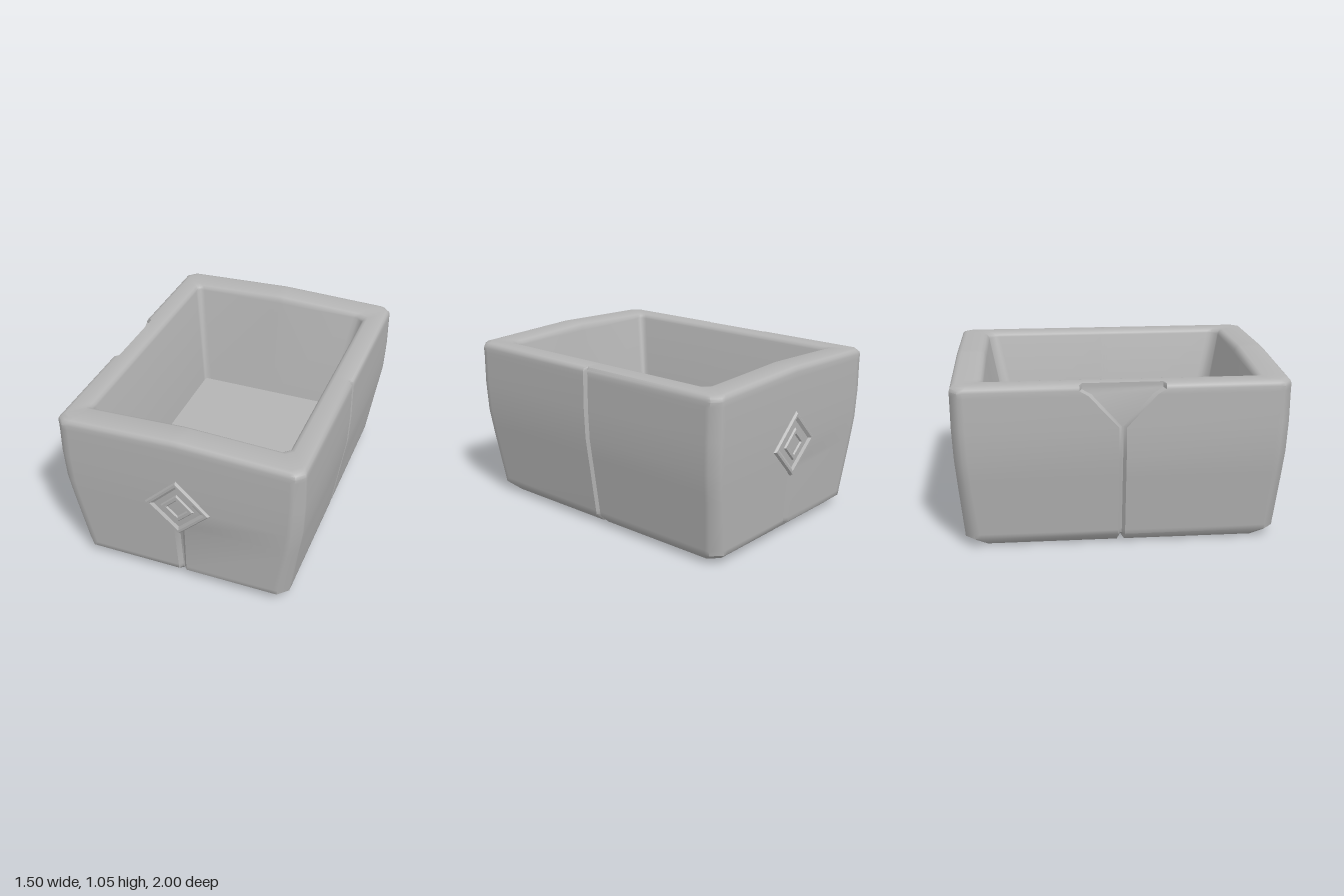
import * as THREE from 'three';
import { toCreasedNormals } from 'three/addons/utils/BufferGeometryUtils.js';

const GUARD = 0.03; // keeps rounding close to the corners

// One closed cross-section: four sides, each with a notch in its middle.
// notch = [half width at the face, depth, half width at the bottom]
function ring({ y, hx, hz, cl = 0.05, cr = 0.05, front = [0.03, 0, 0.004], right = [0.02, 0, 0.004],
  left = [0.02, 0, 0.004], rise = 0, lift = 0 }) {
  const notches = [front, right, front, left];
  const startC = [cl, cr, cr, cl], endC = [cr, cr, cl, cl];
  const pts = [];
  for (let k = 0; k < 4; k++) {
    const [half, n] = k % 2 ? [hz, hx] : [hx, hz];
    const [w, d, v] = notches[k];
    const a = half - startC[k], b = half - endC[k];
    const local = [[-a, 0], [-a + GUARD, 0], [-w, 0], [-v, d], [v, d], [w, 0], [b - GUARD, 0], [b, 0]];
    local.forEach(([s, inset], i) => {
      const m = n - inset;
      const [x, z] = [[s, m], [m, -s], [-s, -m], [-m, s]][k];
      const peak = k % 2 ? 0 : rise * (1 - Math.abs(s) / half);
      pts.push([x, y + peak + (i === 3 || i === 4 ? lift : 0), z]);
    });
  }
  return pts;
}

// Joins equal-length rings into a skin
function loft(rings) {
  const n = rings[0].length, index = [];
  for (let j = 0; j < rings.length - 1; j++) {
    for (let i = 0; i < n; i++) {
      const i2 = (i + 1) % n, a = j * n + i, b = j * n + i2;
      index.push(a, b, b + n, a, b + n, a + n);
    }
  }
  const g = new THREE.BufferGeometry();
  g.setAttribute('position', new THREE.Float32BufferAttribute(rings.flat(2), 3));
  g.setIndex(index);
  return toCreasedNormals(g.toNonIndexed(), 0.82);
}

function troughGeometry() {
  const F = [0.025, 0.026, 0.004], S = [0.018, 0.022, 0.004], L = [0.022, 0.026, 0.004];
  const cut = { front: F, right: S, left: L };
  const sides = { right: S, left: L };
  const rings = [];

  // Underside: four pads separated by crossing grooves
  const base = { y: 0, cl: 0.06, cr: 0.06, lift: 0.022 };
  const B = [0.025, 0, 0.002];
  const inner = ring({ ...base, hx: 0.57, hz: 0.84, front: B, right: B, left: B });
  rings.push(inner.map(([x, y, z], i) => {
    const deep = i % 8 === 3 || i % 8 === 4;
    return deep ? [0, 0.022, 0] : [0.025 * Math.sign(x), 0, 0.025 * Math.sign(z)];
  }));
  rings.push(inner);
  rings.push(ring({ ...base, ...cut, hx: 0.6, hz: 0.87 }));

  // Outer walls
  rings.push(ring({ y: 0.06, hx: 0.665, hz: 0.94, cl: 0.06, cr: 0.06, ...cut }));
  rings.push(ring({ y: 0.09, hx: 0.67, hz: 0.942, cl: 0.06, cr: 0.06, ...cut }));
  rings.push(ring({ y: 0.4, hx: 0.715, hz: 0.965, ...cut, front: [0.034, 0.028, 0.008] }));
  rings.push(ring({ y: 0.45, hx: 0.723, hz: 0.9685, ...sides }));
  rings.push(ring({ y: 0.58, hx: 0.742, hz: 0.978, ...sides }));
  rings.push(ring({ y: 0.77, hx: 0.75, hz: 0.985, ...sides }));
  rings.push(ring({ y: 0.965, hx: 0.748, hz: 0.986, right: S, left: [0.2, 0.034, 0.18], rise: 0.02 }));

  // Rounded outer edge of the rim, with the chip on one side
  for (const deg of [0, 30, 60, 90]) {
    const a = THREE.MathUtils.degToRad(deg), off = 0.035 * (1 - Math.cos(a));
    rings.push(ring({
      y: 0.995 + 0.035 * Math.sin(a), hx: 0.748 - off, hz: 0.986 - off, cl: 0.045, cr: 0.045, rise: 0.025,
      right: [0.018, 0.022 - off * 0.5, 0.004], left: [0.25, 0.042 - off, 0.235],
    }));
  }
  // Rounded inner edge of the rim
  for (const deg of [0, 30, 60, 80]) {
    const a = THREE.MathUtils.degToRad(deg), off = 0.035 * Math.sin(a);
    rings.push(ring({
      y: 0.995 + 0.035 * Math.cos(a), hx: 0.635 - off, hz: 0.83 - off, cl: 0.015, cr: 0.04,
      rise: 0.025 * Math.cos(a),
    }));
  }
  // Hollow and its floor
  const floor = ring({ y: 0.35, hx: 0.505, hz: 0.668, cl: 0.01, cr: 0.055 });
  rings.push(floor, floor.map(() => [0, 0.35, 0]));
  return loft(rings);
}

// Stepped diamond that follows the slope of the end wall
function diamondGeometry() {
  const profile = [[0.205, -0.005], [0.205, 0.003], [0.192, 0.015], [0.172, 0.015], [0.15, 0.002],
    [0.105, 0.002], [0.095, 0.012], [0.07, 0.012], [0.06, 0.003], [0, 0.003]];
  const g = new THREE.LatheGeometry(profile.map(([r, h]) => new THREE.Vector2(r, h)), 4);
  g.rotateX(Math.PI / 2);
  const p = g.attributes.position;
  for (let i = 0; i < p.count; i++) {
    const y = p.getY(i);
    p.setZ(i, p.getZ(i) + 0.978 + y * (y < 0 ? 0.073 : 0.037));
  }
  g.translate(0, 0.58, 0);
  return toCreasedNormals(g.toNonIndexed(), 0.2);
}

export function createModel() {
  const stone = new THREE.MeshStandardMaterial({ color: 0xb4b4b4 });
  stone.name = 'stone grey';
  const model = new THREE.Group();
  model.name = 'stoneTrough';

  const trough = new THREE.Mesh(troughGeometry(), stone);
  trough.name = 'trough';
  model.add(trough);

  const diamond = diamondGeometry();
  ['frontDiamond', 'backDiamond'].forEach((name, i) => {
    const mesh = new THREE.Mesh(diamond, stone);
    mesh.name = name;
    mesh.rotation.y = i * Math.PI;
    model.add(mesh);
  });
  return model;
}
